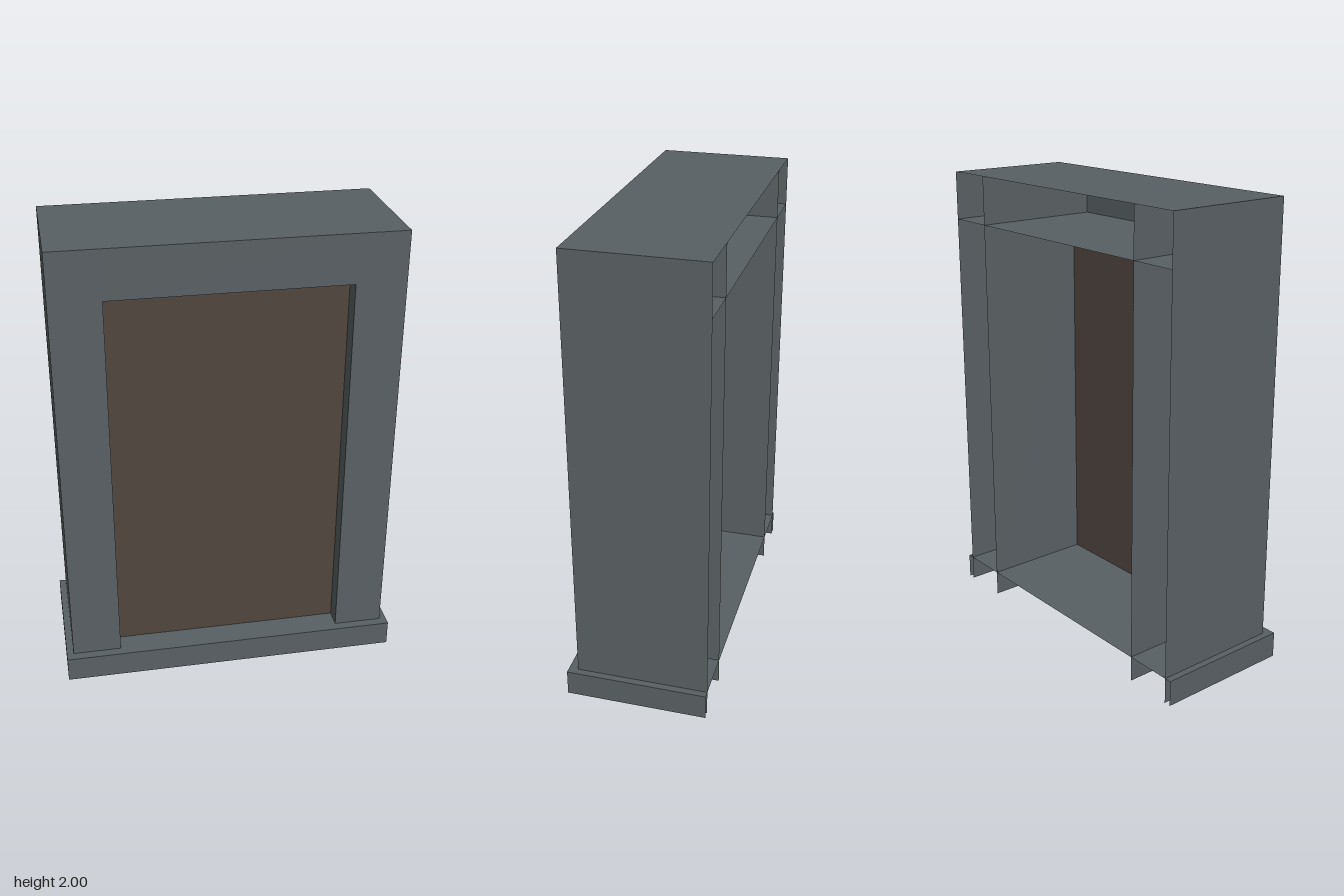
import * as THREE from 'three';

const BACK = -0.305, FRONT = 0.265, SILL_FRONT = 0.305;
const OUTER = 0.713, INNER = 0.5, SILL_HALF = 0.743;
const SILL_TOP = 0.113, LINTEL_BOTTOM = 1.79, TOP = 2, DOOR_Z = 0.185;

export function createModel() {
  const stone = new THREE.MeshStandardMaterial({ color: 0x596063, side: THREE.DoubleSide });
  stone.name = 'greyStone';
  const wood = new THREE.MeshStandardMaterial({ color: 0x50463f, side: THREE.DoubleSide });
  wood.name = 'darkWood';

  const model = new THREE.Group();
  model.name = 'doorway';

  const part = (name) => {
    const group = new THREE.Group();
    group.name = name;
    model.add(group);
    return group;
  };

  const add = (parent, name, geometry, material = stone) => {
    const mesh = new THREE.Mesh(geometry, material);
    mesh.name = name;
    parent.add(mesh);
  };

  // Flat sheets facing front, up (or down) and sideways
  const facing = (x0, x1, y0, y1, z) =>
    new THREE.PlaneGeometry(x1 - x0, y1 - y0).translate((x0 + x1) / 2, (y0 + y1) / 2, z);
  const level = (halfWidth, z1, y, dir = 1) =>
    new THREE.PlaneGeometry(halfWidth * 2, z1 - BACK)
      .rotateX(-dir * Math.PI / 2).translate(0, y, (z1 + BACK) / 2);
  const upright = (x, y0, y1, z1, dir) =>
    new THREE.PlaneGeometry(z1 - BACK, y1 - y0)
      .rotateY(dir * Math.PI / 2).translate(x, (y0 + y1) / 2, (z1 + BACK) / 2);

  // Posts, open at the back and bottom, running down through the sill
  for (const s of [-1, 1]) {
    const post = part(s > 0 ? 'leftPost' : 'rightPost');
    const [x0, x1] = s > 0 ? [INNER, OUTER] : [-OUTER, -INNER];
    add(post, 'postFront', facing(x0, x1, 0, TOP, FRONT));
    add(post, 'postOuterSide', upright(s * OUTER, 0, TOP, FRONT, s));
    add(post, 'postInnerSide', upright(s * INNER, 0, TOP, FRONT, -s));
  }

  // Lintel, open at the back
  const lintel = part('lintel');
  add(lintel, 'lintelFront', facing(-INNER, INNER, LINTEL_BOTTOM, TOP, FRONT));
  add(lintel, 'lintelTop', level(OUTER, FRONT, TOP));
  add(lintel, 'lintelUnderside', level(OUTER, FRONT, LINTEL_BOTTOM, -1));

  // Sill, open at the back and bottom
  const sill = part('sill');
  add(sill, 'sillTop', level(SILL_HALF, SILL_FRONT, SILL_TOP));
  add(sill, 'sillFront', facing(-SILL_HALF, SILL_HALF, 0, SILL_TOP, SILL_FRONT));
  for (const s of [-1, 1]) {
    add(sill, 'sillSide', upright(s * SILL_HALF, 0, SILL_TOP, SILL_FRONT, s));
  }

  // Door set back in the opening
  add(model, 'doorPanel', facing(-INNER, INNER, SILL_TOP, LINTEL_BOTTOM, DOOR_Z), wood);

  return model;
}
